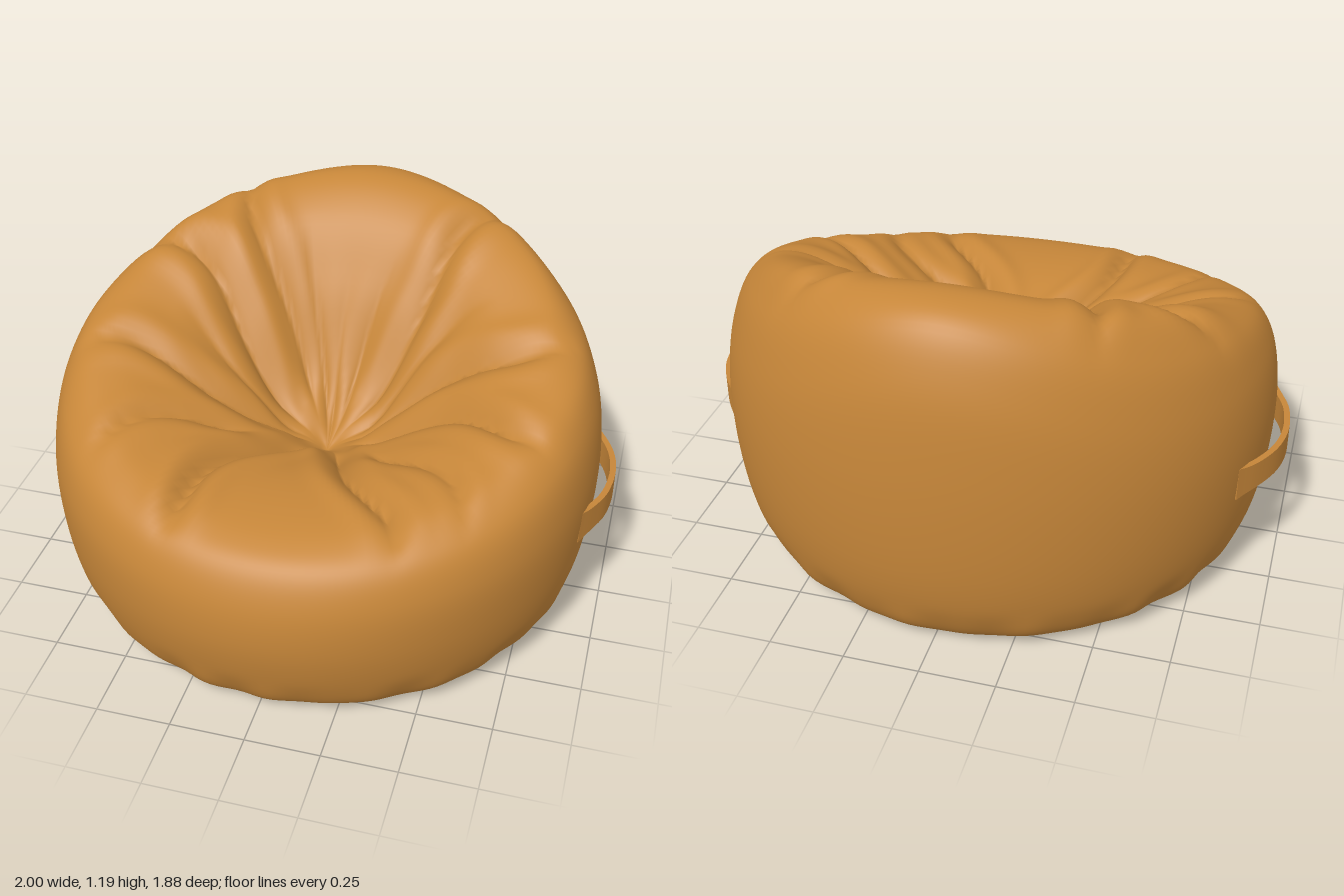
import * as THREE from 'three';

const ROWS = 120, COLS = 200;

// Half cross-sections [radius, height]; the underside is shared, the upper part varies around the bag
const under = [[0, .03], [.4, .03], [.63, .035], [.685, .055], [.72, .015], [.785, 0], [.85, .04], [.9, .15], [.934, .33]];
const upper = [
  [[.917, .48], [.855, .595], [.77, .64], [.62, .662], [.44, .65], [.28, .6], [.13, .52], [0, .43]],    // front
  [[.932, .52], [.885, .64], [.79, .705], [.68, .715], [.52, .69], [.35, .625], [.17, .53], [0, .43]],  // front diagonal
  [[.942, .58], [.907, .77], [.845, .87], [.74, .9], [.57, .845], [.39, .72], [.18, .55], [0, .43]],    // side
  [[.942, .6], [.912, .81], [.845, .99], [.74, 1.1], [.57, 1.05], [.39, .85], [.19, .57], [0, .43]],    // back diagonal
  [[.938, .7], [.895, .99], [.805, 1.16], [.67, 1.195], [.52, 1.11], [.37, .9], [.19, .6], [0, .43]],   // back
];
const sections = upper.map(u => new THREE.CatmullRomCurve3(
  [...under, ...u].map(([r, y]) => new THREE.Vector3(r, y, 0))));

// Folds: [angle from the front in degrees, inner radius, outer radius, depth, width]
const folds = [
  [27, .12, .88, .05, .03], [47, .3, .88, .03, .025], [74, .12, .88, .05, .03], [100, .1, .84, .05, .03],
  [118, .1, .55, .04, .025], [141, .12, .84, .05, .03], [163, .08, .45, .035, .025], [182, .05, .38, .03, .025],
  [199, .08, .5, .035, .025], [217, .15, .84, .05, .03], [245, .12, .88, .06, .035], [264, .1, .55, .03, .025],
  [282, .1, .86, .045, .03], [308, .3, .88, .03, .025], [334, .12, .9, .06, .03],
];

const smooth = THREE.MathUtils.smoothstep;

// Cross-section point at angle a, blended smoothly between neighbouring sections
function sectionPoint(samples, a) {
  const k = Math.min(a, 2 * Math.PI - a) / (Math.PI / 4);
  const i = Math.min(3, Math.floor(k)), t = k - i;
  const at = n => samples[n < 0 ? -n : n > 4 ? 8 - n : n];
  const mix = key => {
    const [p, q, r, s] = [at(i - 1)[key], at(i)[key], at(i + 1)[key], at(i + 2)[key]];
    return q + .5 * t * (r - p + t * (2 * p - 5 * q + 4 * r - s + t * (3 * (q - r) + s - p)));
  };
  return [mix('x'), mix('y')];
}

function foldDepth(a, r) {
  let depth = 0;
  for (const [deg, r0, r1, d, w] of folds) {
    const centre = THREE.MathUtils.degToRad(deg) + .07 * Math.sin(r * 8 + deg);
    const off = Math.atan2(Math.sin(a - centre), Math.cos(a - centre)) * Math.max(r, .12);
    const reach = smooth(r, r0 - .06, r0 + .1) * (1 - smooth(r, r1 - .25, r1 + .04));
    // sharp valley with a soft swelling beside it
    depth += reach * d * (Math.exp(-Math.abs(off) / w) - .3 * Math.exp(-(((Math.abs(off) - 2.6 * w) / (1.5 * w)) ** 2)));
  }
  return depth;
}

function bagGeometry() {
  const pos = [], index = [];
  const underEnd = (under.length - 1) / (under.length + 7);
  for (let j = 1; j < ROWS; j++) {
    const u = j / ROWS, samples = sections.map(c => c.getPoint(u));
    for (let i = 0; i < COLS; i++) {
      const a = i / COLS * Math.PI * 2;
      let [r, y] = sectionPoint(samples, a);
      if (u > underEnd) {
        y -= foldDepth(a, r) * smooth(u, underEnd + .06, underEnd + .2);
      } else {
        // gathered cloth around the base seam
        const gather = smooth(r, .62, .72) * (1 - smooth(y, .03, .2));
        const wave = Math.sin(a * 17 + 2 * Math.sin(a * 3)) + .6 * Math.sin(a * 29 + 1);
        r += .009 * gather * wave;
        y += .006 * gather * (wave + 1.6);
      }
      pos.push(Math.sin(a) * r, Math.max(y, .005), Math.cos(a) * r);
    }
  }
  const bottom = pos.length / 3, top = bottom + 1;
  pos.push(0, .03, 0, 0, .43, 0);
  const last = (ROWS - 2) * COLS;
  for (let i = 0; i < COLS; i++) {
    const n = (i + 1) % COLS;
    index.push(bottom, n, i, top, last + i, last + n);
    for (let j = 0; j < ROWS - 2; j++) {
      const p = j * COLS, q = p + COLS;
      index.push(p + i, p + n, q + n, p + i, q + n, q + i);
    }
  }
  const g = new THREE.BufferGeometry();
  g.setAttribute('position', new THREE.Float32BufferAttribute(pos, 3));
  g.setIndex(index);
  g.computeVertexNormals();
  return g;
}

// Strap bowed away from the bag, flared where it is sewn on
const strapPath = new THREE.CatmullRomCurve3(
  [[.865, -.355], [.92, -.28], [.97, -.18], [.99, -.07], [.977, .06], [.945, .14], [.908, .21]]
    .map(([x, z]) => new THREE.Vector3(x, 0, z)));

function strapGeometry(side) {
  const g = new THREE.BoxGeometry(1, 1, 1, 1, 2, 32), p = g.attributes.position;
  for (let i = 0; i < p.count; i++) {
    const t = p.getZ(i) + .5;
    const c = strapPath.getPoint(t), d = strapPath.getTangent(t);
    const out = side * p.getX(i) * .02;
    const height = .095 + .025 * Math.abs(2 * t - 1) ** 6;
    p.setXYZ(i, side * (c.x + d.z * out), .442 + p.getY(i) * height, c.z - d.x * out);
  }
  g.computeVertexNormals();
  return g;
}

export function createModel() {
  const fabric = new THREE.MeshStandardMaterial({ color: 0xc68639 });
  fabric.name = 'tan fabric';
  const model = new THREE.Group();
  model.name = 'beanBagChair';
  const add = (name, geometry) => {
    const mesh = new THREE.Mesh(geometry, fabric);
    mesh.name = name;
    model.add(mesh);
  };
  add('bag', bagGeometry());
  add('leftHandle', strapGeometry(1));
  add('rightHandle', strapGeometry(-1));
  return model;
}
